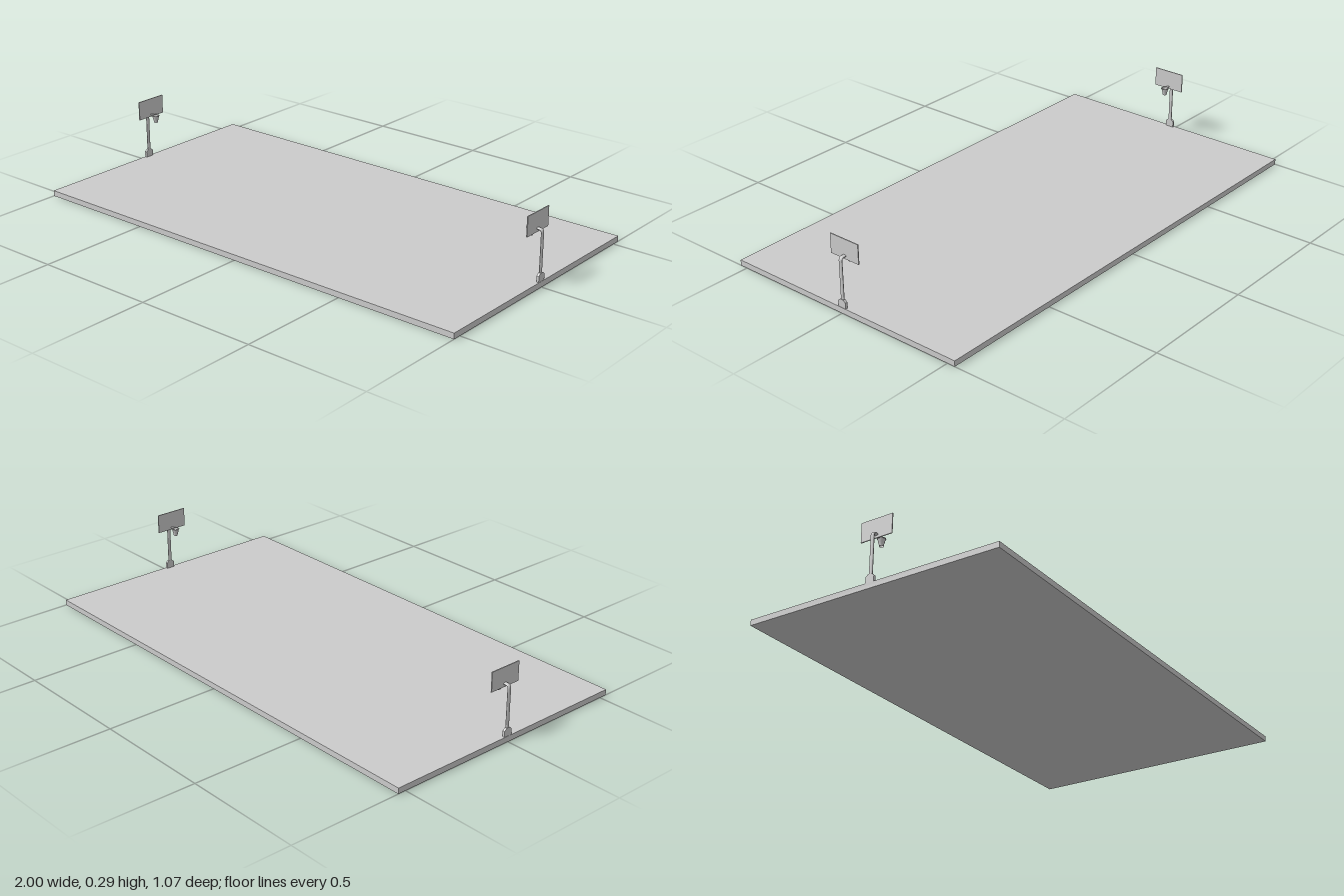
import * as THREE from 'three';

const grey = new THREE.MeshStandardMaterial({ color: 0xcccccc });
const thin = new THREE.MeshStandardMaterial({ color: 0xcccccc, side: THREE.DoubleSide });

function add(parent, name, geometry, x, y, z, material = grey) {
  const mesh = new THREE.Mesh(geometry, material);
  mesh.name = name;
  mesh.position.set(x, y, z);
  parent.add(mesh);
  return mesh;
}

// One hoop standing at the +x end, facing the middle of the court
function createHoop() {
  const hoop = new THREE.Group();

  // Foot: flat block with its shoulders sloping in to the pole
  const foot = new THREE.Shape([
    [-0.018, 0.022], [0.018, 0.022], [0.018, 0.047], [0.008, 0.056], [-0.008, 0.056], [-0.018, 0.047],
  ].map(([x, y]) => new THREE.Vector2(x, y)));
  const footGeometry = new THREE.ExtrudeGeometry(foot, { depth: 0.01, bevelEnabled: false });
  footGeometry.rotateY(Math.PI / 2);
  add(hoop, 'poleFoot', footGeometry, 0.989, 0, 0);

  // Pole bending over into the arm, wider across the court than along it
  const path = new THREE.CurvePath();
  const p = (x, y) => new THREE.Vector3(x, y, 0);
  path.add(new THREE.LineCurve3(p(0.993, 0.022), p(0.993, 0.208)));
  path.add(new THREE.QuadraticBezierCurve3(p(0.993, 0.208), p(0.993, 0.221), p(0.982, 0.221)));
  path.add(new THREE.LineCurve3(p(0.982, 0.221), p(0.969, 0.221)));
  const pole = add(hoop, 'poleAndArm', new THREE.TubeGeometry(path, 48, 0.0045, 12), 0, 0, 0, thin);
  pole.scale.z = 1.75;

  // Backboard
  add(hoop, 'backboard', new THREE.BoxGeometry(0.004, 0.079, 0.136), 0.971, 0.2475, 0);

  // Rim, its bracket and the tapering net
  const rim = add(hoop, 'rim', new THREE.TorusGeometry(0.0145, 0.0018, 8, 24), 0.943, 0.217, 0);
  rim.rotation.x = Math.PI / 2;
  add(hoop, 'rimBracket', new THREE.BoxGeometry(0.013, 0.004, 0.009), 0.9635, 0.217, 0);
  const net = [[0.0145, 0.217], [0.0115, 0.204], [0.009, 0.195], [0.0085, 0.188]]
    .map(([r, y]) => new THREE.Vector2(r, y));
  add(hoop, 'net', new THREE.LatheGeometry(net, 24), 0.943, 0, 0, thin);
  return hoop;
}

export function createModel() {
  const model = new THREE.Group();
  model.name = 'basketballCourt';
  add(model, 'courtSlab', new THREE.BoxGeometry(2, 0.023, 1.066), 0, 0.0115, 0);

  // A hoop at each end
  ['left', 'right'].forEach((side, i) => {
    const hoop = createHoop();
    hoop.name = side + 'Hoop';
    hoop.rotation.y = i * Math.PI;
    model.add(hoop);
  });
  return model;
}
